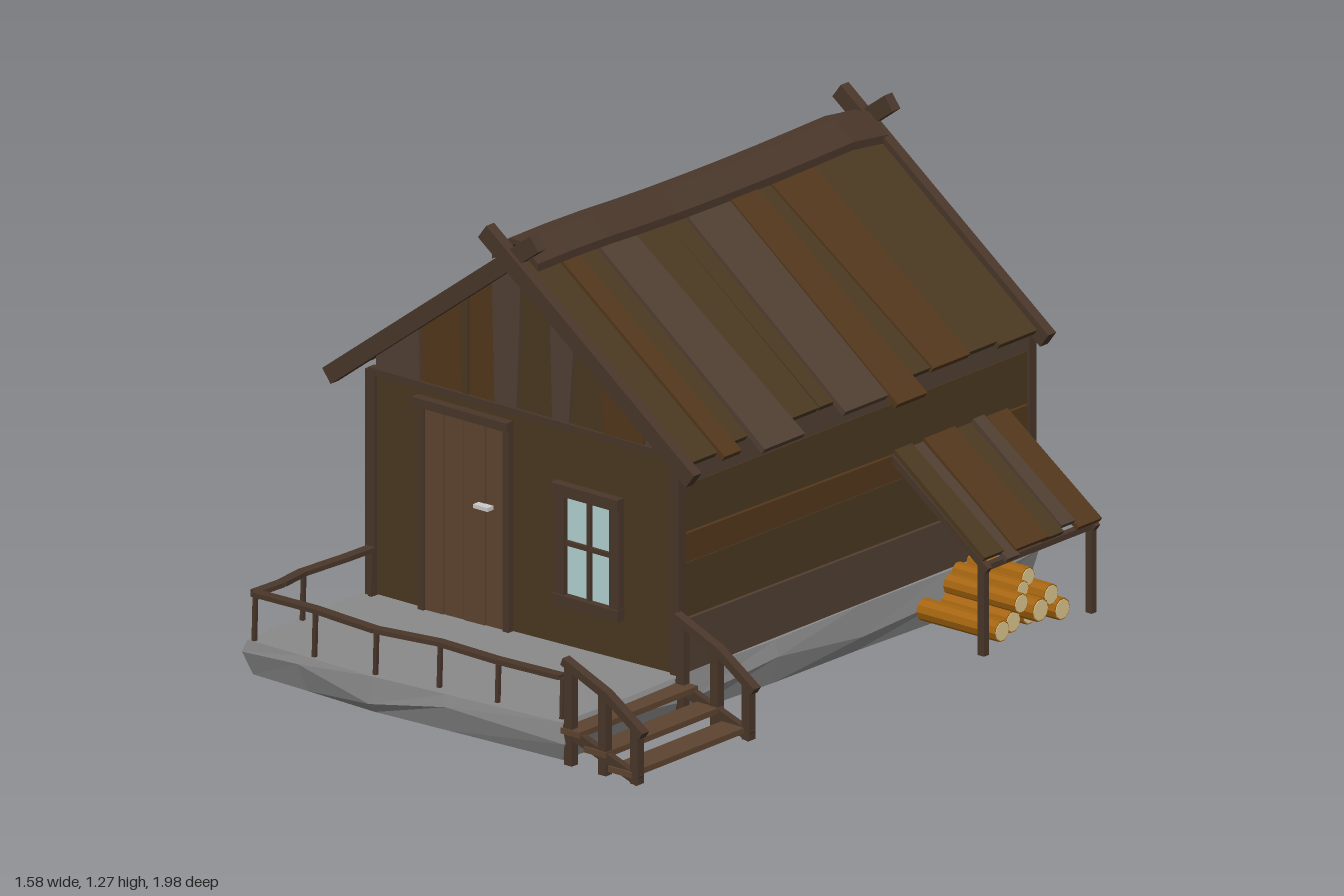
import * as THREE from 'three';

const DARK = 0x4a3820, BROWN = 0x53371c, GREYBROWN = 0x513f33, TRIM = 0x4a372b, DOOR = 0x5e4430;
const STONE = 0x8a8a8a, GLASS = 0xb4d2d2, BARK = 0xa5650f, WOOD = 0xe0c890, METAL = 0xcccccc;
const WOODS = [DARK, BROWN, GREYBROWN];
const RIDGE_X = -0.13, PITCH = 0.64, SLOPE = Math.tan(PITCH);
const V = (x, y, z) => new THREE.Vector3(x, y, z);

export function createModel() {
  const root = new THREE.Group();
  root.name = 'cabin';
  const materials = {};
  let seed = 7;
  const rand = () => (seed = (seed * 16807) % 2147483647) / 2147483647;

  function add(name, geometry, color) {
    materials[color] ??= new THREE.MeshStandardMaterial({ color, flatShading: true });
    const mesh = new THREE.Mesh(geometry, materials[color]);
    mesh.name = name;
    root.add(mesh);
    return mesh;
  }
  // Axis-aligned box given by its limits
  function box(name, x0, x1, y0, y1, z0, z1, color) {
    const mesh = add(name, new THREE.BoxGeometry(x1 - x0, y1 - y0, z1 - z0), color);
    mesh.position.set((x0 + x1) / 2, (y0 + y1) / 2, (z0 + z1) / 2);
  }
  // Bar between two points
  function beam(name, a, b, w, h, color) {
    const mesh = add(name, new THREE.BoxGeometry(w, h, a.distanceTo(b)), color);
    mesh.position.lerpVectors(a, b, 0.5);
    mesh.lookAt(b);
  }
  // Flat board of any outline, laid in a plane
  function slab(name, points, depth, color, matrix) {
    const shape = new THREE.Shape(points.map(p => new THREE.Vector2(...p)));
    const geometry = new THREE.ExtrudeGeometry(shape, { depth, bevelEnabled: false });
    add(name, geometry.applyMatrix4(matrix), color);
  }
  function plane(xAxis, yAxis, origin) {
    return new THREE.Matrix4().makeBasis(xAxis, yAxis, xAxis.clone().cross(yAxis)).setPosition(origin);
  }
  // Plane of a roof slope: first axis runs down the slope, second along the ridge
  function slopePlane(side, x, y, pitch) {
    return plane(V(side * Math.cos(pitch), -Math.sin(pitch), 0), V(0, 0, -side), V(x, y, 0));
  }

  // Stone foundation: three uneven rings and two caps
  const outline = [[-0.65, 0.96], [-0.45, 0.97], [-0.2, 0.985], [0.05, 0.975], [0.44, 0.96], [0.445, 0.7], [0.44, 0.45],
    [0.45, 0.1], [0.445, -0.25], [0.45, -0.6], [0.44, -0.965], [0.1, -0.97], [-0.3, -0.985], [-0.64, -0.965],
    [-0.65, -0.6], [-0.645, -0.2], [-0.65, 0.2], [-0.655, 0.6]];
  const rings = [0.985, 1.012, 1].map((scale, level) => outline.map(([x, z]) => {
    const bottom = 0.017 + 0.015 * z + 0.008 * x;
    const y = [bottom, 0.05 + rand() * 0.06, 0.138 + 0.018 * x][level];
    return V(-0.1 + (x + 0.1) * (scale + (level === 1 ? rand() * 0.025 : 0)), y, z * Math.min(scale, 1.007));
  }));
  const stone = [];
  const tri = (...points) => points.forEach(p => stone.push(p.x, p.y, p.z));
  outline.forEach((_, i) => {
    const j = (i + 1) % outline.length;
    for (let k = 0; k < 2; k++) {
      tri(rings[k][i], rings[k][j], rings[k + 1][j]);
      tri(rings[k][i], rings[k + 1][j], rings[k + 1][i]);
    }
    tri(V(-0.1, 0.136, 0), rings[2][i], rings[2][j]);
    tri(V(-0.1, 0.016, 0), rings[0][j], rings[0][i]);
  });
  const stoneGeometry = new THREE.BufferGeometry();
  stoneGeometry.setAttribute('position', new THREE.Float32BufferAttribute(stone, 3));
  stoneGeometry.computeVertexNormals();
  add('foundation', stoneGeometry, STONE);

  // House body with gables
  const roofY = x => 1.17 - SLOPE * Math.abs(x - RIDGE_X);
  slab('houseBody', [[-0.625, 0.12], [0.425, 0.12], [0.425, roofY(0.425)], [RIDGE_X, 1.17], [-0.625, roofY(-0.625)]],
    1.415, DARK, new THREE.Matrix4().setPosition(0, 0, -0.95));

  // Horizontal wall boards: height at either end of each joint
  function boardWall(name, matrix, x0, x1, joints, colors) {
    for (let i = 0; i + 1 < joints.length; i++) {
      const [a, b] = joints[i], [c, d] = joints[i + 1];
      slab(name, [[x0, a], [x1, b], [x1, d - 0.004], [x0, c - 0.004]], i % 2 ? 0.01 : 0.014, colors[i], matrix);
    }
  }
  const sideJoints = [[0.13, 0.12], [0.3, 0.285], [0.455, 0.45], [0.54, 0.52], [0.675, 0.67], [0.75, 0.75]];
  const sideColors = [GREYBROWN, DARK, BROWN, DARK, GREYBROWN];
  boardWall('rightWallBoard', plane(V(0, 0, -1), V(0, 1, 0), V(0.425, 0, 0)), -0.47, 0.95, sideJoints, sideColors);
  boardWall('leftWallBoard', plane(V(0, 0, 1), V(0, 1, 0), V(-0.625, 0, 0)), -0.95, 0.47, sideJoints, sideColors);
  boardWall('backWallBoard', plane(V(-1, 0, 0), V(0, 1, 0), V(0, 0, -0.95)), -0.425, 0.625,
    [[0.12, 0.12], [0.23, 0.25], [0.33, 0.31], [0.45, 0.4], [0.53, 0.57], [0.64, 0.66], [0.75, 0.75]],
    [BROWN, DARK, GREYBROWN, DARK, GREYBROWN, DARK]);
  box('frontWall', -0.625, 0.425, 0.13, 0.75, 0.465, 0.475, DARK);

  // Vertical gable boards cut to the roof line: bottom and top x of each joint
  const gableJoints = [[-0.61, -0.61], [-0.455, -0.46], [-0.31, -0.32], [-0.29, -0.29], [-0.2, -0.21], [-0.12, -0.105],
    [0, -0.01], [0.06, 0.08], [0.18, 0.16], [0.32, 0.32], [0.41, 0.41]];
  const gableColors = [GREYBROWN, BROWN, DARK, BROWN, GREYBROWN, DARK, GREYBROWN, DARK, BROWN, GREYBROWN];
  for (const z of [0.465, -0.965]) {
    gableColors.forEach((color, i) => {
      const [a, ta] = gableJoints[i], [b, tb] = gableJoints[i + 1];
      const top = [[tb - 0.004, roofY(tb)], [ta, roofY(ta)]];
      if (ta < RIDGE_X && tb > RIDGE_X) top.splice(1, 0, [RIDGE_X, 1.17]);
      slab('gableBoard', [[a, 0.752], [b - 0.004, 0.752], ...top], i % 2 ? 0.012 : 0.016, color,
        new THREE.Matrix4().setPosition(0, 0, z));
    });
    box('gableSill', -0.635, 0.435, 0.745, 0.765, z - 0.005, z + 0.02, TRIM);
  }
  for (const x of [-0.643, 0.413]) for (const z of [-0.975, 0.457])
    box('cornerPost', x, x + 0.03, 0.12, 0.76, z, z + 0.03, TRIM);

  // Roof boards: ridge z range, eave z range, horizontal reach, lift, colour
  const roofBoards = [
    [-0.95, -0.78, -0.95, -0.78, 0.6, 0, DARK], [-0.78, -0.66, -0.78, -0.66, 0.59, 0, DARK],
    [-0.66, -0.48, -0.66, -0.51, 0.6, 0.008, BROWN], [-0.49, -0.42, -0.52, -0.42, 0.59, 0, DARK],
    [-0.42, -0.31, -0.42, -0.3, 0.655, 0.018, BROWN], [-0.31, -0.14, -0.3, -0.125, 0.622, 0.012, GREYBROWN],
    [-0.16, -0.07, -0.14, -0.07, 0.58, 0, DARK], [-0.07, 0.08, -0.065, 0.055, 0.58, 0, DARK],
    [0.07, 0.21, 0.055, 0.22, 0.635, 0.014, GREYBROWN], [0.2, 0.29, 0.225, 0.29, 0.58, 0, DARK],
    [0.29, 0.36, 0.29, 0.36, 0.615, 0.012, BROWN], [0.36, 0.475, 0.36, 0.475, 0.59, 0, DARK]];
  for (const side of [-1, 1]) {
    for (const [r0, r1, e0, e1, reach, lift, color] of roofBoards) {
      const length = reach / Math.cos(PITCH);
      slab('roofBoard', [[0, -side * r0], [length, -side * e0], [length, -side * e1], [0, -side * r1]], 0.018, color,
        slopePlane(side, RIDGE_X, 1.172 + lift, PITCH));
    }
    // Crossed gable boards
    for (const z of [-0.955, 0.492]) {
      const dz = side * 0.006;
      const at = x => V(RIDGE_X + side * x, 1.187 - SLOPE * x, z + dz);
      beam('bargeBoard', at(-0.085), at(0.635), 0.032, 0.048, TRIM);
    }
  }
  // Sagging ridge cap
  const chevron = new THREE.Shape([[-0.08, 1.15], [0, 1.21], [0.08, 1.15], [0.08, 1.172], [0.02, 1.222], [-0.02, 1.222], [-0.08, 1.172]]
    .map(([x, y]) => new THREE.Vector2(RIDGE_X + x, y)));
  const cap = new THREE.ExtrudeGeometry(chevron, { depth: 1.43, steps: 10, bevelEnabled: false }).translate(0, 0, -0.95);
  const capPos = cap.attributes.position;
  for (let i = 0; i < capPos.count; i++) {
    const z = capPos.getZ(i);
    capPos.setY(i, capPos.getY(i) + 0.005 + 0.012 * Math.sin(z * 4.2) * (z > 0 ? 1 : 0.4) - (z < -0.9 ? 0.02 : 0));
  }
  cap.computeVertexNormals();
  add('ridgeCap', cap, TRIM);

  // Door
  const doorEdges = [-0.435, -0.37, -0.3, -0.225, -0.16];
  for (let i = 0; i < 4; i++)
    box('doorBoard', doorEdges[i], doorEdges[i + 1] - 0.004, 0.13, 0.7, 0.47, i % 2 ? 0.484 : 0.487, DOOR);
  for (const x of [-0.455, -0.16]) box('doorJamb', x, x + 0.02, 0.13, 0.7, 0.47, 0.495, TRIM);
  box('doorLintel', -0.47, -0.14, 0.7, 0.725, 0.47, 0.503, TRIM);
  box('doorHandle', -0.25, -0.2, 0.465, 0.476, 0.485, 0.51, METAL);

  // Window
  box('windowGlass', 0.04, 0.22, 0.28, 0.57, 0.47, 0.48, GLASS);
  for (const x of [0.02, 0.21]) box('windowSide', x, x + 0.033, 0.27, 0.58, 0.47, 0.497, TRIM);
  box('windowSill', 0.015, 0.245, 0.255, 0.287, 0.47, 0.503, TRIM);
  box('windowHead', 0.012, 0.243, 0.565, 0.597, 0.47, 0.503, TRIM);
  box('windowMullion', 0.126, 0.138, 0.28, 0.57, 0.47, 0.49, TRIM);
  box('windowBar', 0.04, 0.22, 0.425, 0.438, 0.47, 0.49, TRIM);

  // Porch railing
  const rail = [[-0.62, 0.49], [-0.617, 0.6], [-0.637, 0.75], [-0.617, 0.86], [-0.63, 0.955], [-0.42, 0.957], [-0.2, 0.967],
    [0, 0.942], [0.2, 0.94], [0.42, 0.936]].map(([x, z], i) => V(x, 0.26 + (i % 2) * 0.004, z));
  for (let i = 0; i + 1 < rail.length; i++) beam('porchRail', rail[i], rail[i + 1], 0.03, 0.013, TRIM);
  for (const i of [0, 2, 4, 5, 6, 7, 8, 9])
    beam('porchPost', V(rail[i].x, 0.12, rail[i].z), V(rail[i].x + 0.004, 0.26, rail[i].z), 0.011, 0.011, TRIM);

  // Side steps
  [[0.44, 0.505, 0.125], [0.52, 0.595, 0.09], [0.605, 0.685, 0.055]].forEach(([x0, x1, y]) =>
    box('stepTread', x0, x1, y - 0.008, y + 0.008, 0.48, 0.965, DOOR));
  for (const z of [0.492, 0.948]) {
    beam('stepStringer', V(0.44, 0.13, z), V(0.7, 0.04, z), 0.02, 0.03, TRIM);
    beam('stepHandrail', V(0.44, 0.318, z), V(0.59, 0.255, z), 0.028, 0.022, TRIM);
    beam('stepHandrail', V(0.585, 0.258, z), V(0.715, 0.17, z), 0.028, 0.022, TRIM);
    for (const [x, y] of [[0.462, 0.31], [0.58, 0.255], [0.69, 0.185]])
      box('stepPost', x - 0.013, x + 0.013, 0.03, y, z - 0.013, z + 0.013, TRIM);
  }

  // Woodshed lean-to
  const shedPitch = Math.atan2(0.24, 0.33);
  [[-0.85, -0.765, 0.4], [-0.755, -0.71, 0.385], [-0.7, -0.625, 0.395], [-0.635, -0.51, 0.4], [-0.505, -0.465, 0.41], [-0.46, -0.39, 0.39]]
    .forEach(([z0, z1, length], i) => slab('shedRoofBoard', [[0, -z0], [length, -z0 + 0.005], [length, -z1 - 0.005], [0, -z1]],
      0.014, WOODS[(i + 1) % 3], slopePlane(1, 0.44, 0.525 + (i % 2) * 0.008, shedPitch)));
  for (const z of [-0.84, -0.4]) {
    beam('shedRafter', V(0.43, 0.52, z), V(0.765, 0.276, z), 0.018, 0.02, TRIM);
    box('shedPost', 0.735, 0.757, 0.035, 0.29, z - 0.01, z + 0.01, TRIM);
  }
  box('shedBeam', 0.735, 0.757, 0.272, 0.288, -0.85, -0.39, TRIM);

  // Log pile: z, height, radius, end of log
  [[-0.495, 0.072, 0.03, 0.73], [-0.575, 0.07, 0.031, 0.7], [-0.655, 0.068, 0.03, 0.69], [-0.735, 0.07, 0.031, 0.735],
    [-0.585, 0.123, 0.028, 0.72], [-0.64, 0.094, 0.033, 0.74], [-0.695, 0.12, 0.03, 0.73], [-0.615, 0.15, 0.024, 0.7],
    [-0.66, 0.168, 0.027, 0.68]].forEach(([z, y, r, end], i) => {
    const length = end - 0.46 - (i % 3) * 0.015;
    const log = add('log', new THREE.CylinderGeometry(r, r * 1.05, length, 10), BARK);
    log.rotation.z = -Math.PI / 2;
    log.position.set(end - length / 2, y, z);
    for (const s of [-1, 1]) {
      const face = add('logEnd', new THREE.CylinderGeometry(r * 0.88, r * 0.88, 0.004, 10), WOOD);
      face.rotation.z = -Math.PI / 2;
      face.position.set(end - length / 2 + s * length / 2, y, z);
    }
    if (i % 2) beam('twig', V(end - 0.1, y, z), V(end - 0.06, y + 0.02, z - r - 0.02), 0.01, 0.01, BARK);
  });
  return root;
}
